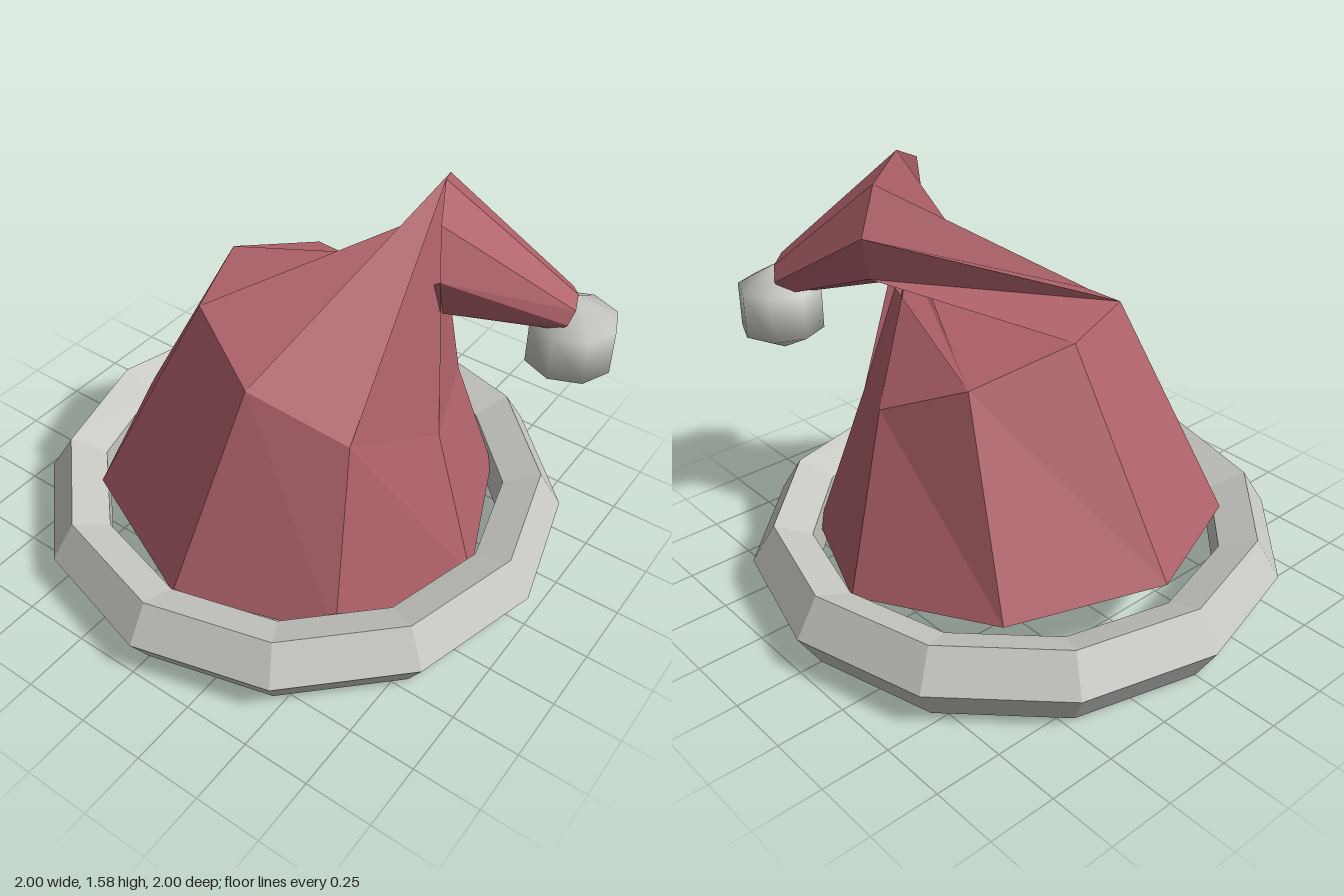
import * as THREE from 'three';

const red = new THREE.MeshStandardMaterial({ color: 0xb0626a, flatShading: true });
red.name = 'red felt';
const white = new THREE.MeshStandardMaterial({ color: 0xc8c8c3, flatShading: true });
white.name = 'off white trim';
const fluff = new THREE.MeshStandardMaterial({ color: 0xc8c8c3 });
fluff.name = 'off white pompom';

// Closed skin through rings of equal point count, listed bottom to top
function loft(rings) {
  const pos = [];
  const tri = (...pts) => pts.forEach((p) => pos.push(...p));
  for (let r = 0; r < rings.length - 1; r++) {
    const a = rings[r], b = rings[r + 1], n = a.length;
    for (let i = 0; i < n; i++) {
      const j = (i + 1) % n;
      tri(a[j], a[i], b[j]);
      tri(a[i], b[i], b[j]);
    }
  }
  const first = rings[0], last = rings[rings.length - 1];
  for (let i = 1; i < first.length - 1; i++) {
    tri(first[0], first[i], first[i + 1]);
    tri(last[0], last[i + 1], last[i]);
  }
  const g = new THREE.BufferGeometry();
  g.setAttribute('position', new THREE.Float32BufferAttribute(pos, 3));
  g.computeVertexNormals();
  return g;
}

// Eight-sided ring spanned by a sideways and an upward half axis
function ring(c, u, v) {
  return Array.from({ length: 8 }, (_, i) => {
    const s = Math.sin((i * Math.PI) / 4), k = Math.cos((i * Math.PI) / 4);
    return c.map((x, d) => x + u[d] * s + v[d] * k);
  });
}

export function createModel() {
  const model = new THREE.Group();
  const add = (name, geometry, material) => {
    const m = new THREE.Mesh(geometry, material);
    m.name = name;
    model.add(m);
    return m;
  };

  // Brim: pentagonal section swept round twelve sides
  const section = [[1, 0.14], [0.914, 0.281], [0.775, 0.227], [0.775, 0.053], [0.914, 0], [1, 0.14]];
  add('brim', new THREE.LatheGeometry(section.map(([x, y]) => new THREE.Vector2(x, y)), 12), white);

  // Cone: tilted base, shoulder, then a twisted, folded-over tip
  const base = Array.from({ length: 8 }, (_, i) => {
    const a = ((i + 1) * Math.PI) / 4;
    const z = 0.765 * Math.cos(a);
    return [-0.77 * Math.sin(a), 0.205 - 0.12 * z, z];
  });
  const shoulder = [
    [-0.35, 0.82, 0.45], [-0.47, 0.975, 0.115], [-0.3, 1.08, -0.215], [0.06, 1.08, -0.355],
    [0.41, 0.97, -0.22], [0.53, 0.81, 0.115], [0.36, 0.7, 0.45], [0, 0.7, 0.585],
  ];
  const fold = ring([0.19, 1.335, 0.45], [0.215, 0, -0.105], [-0.02, 0.245, -0.01]);
  const end = ring([0.43, 1.08, 0.8], [0.09, 0, -0.05], [0, 0.07, 0.035]);
  add('hatCone', loft([base, shoulder, fold, end]), red);

  // Pompom
  const pom = add('pompom', new THREE.SphereGeometry(0.182, 8, 3), fluff);
  pom.scale.y = 0.955;
  pom.position.set(0.46, 0.95, 0.82);

  return model;
}
